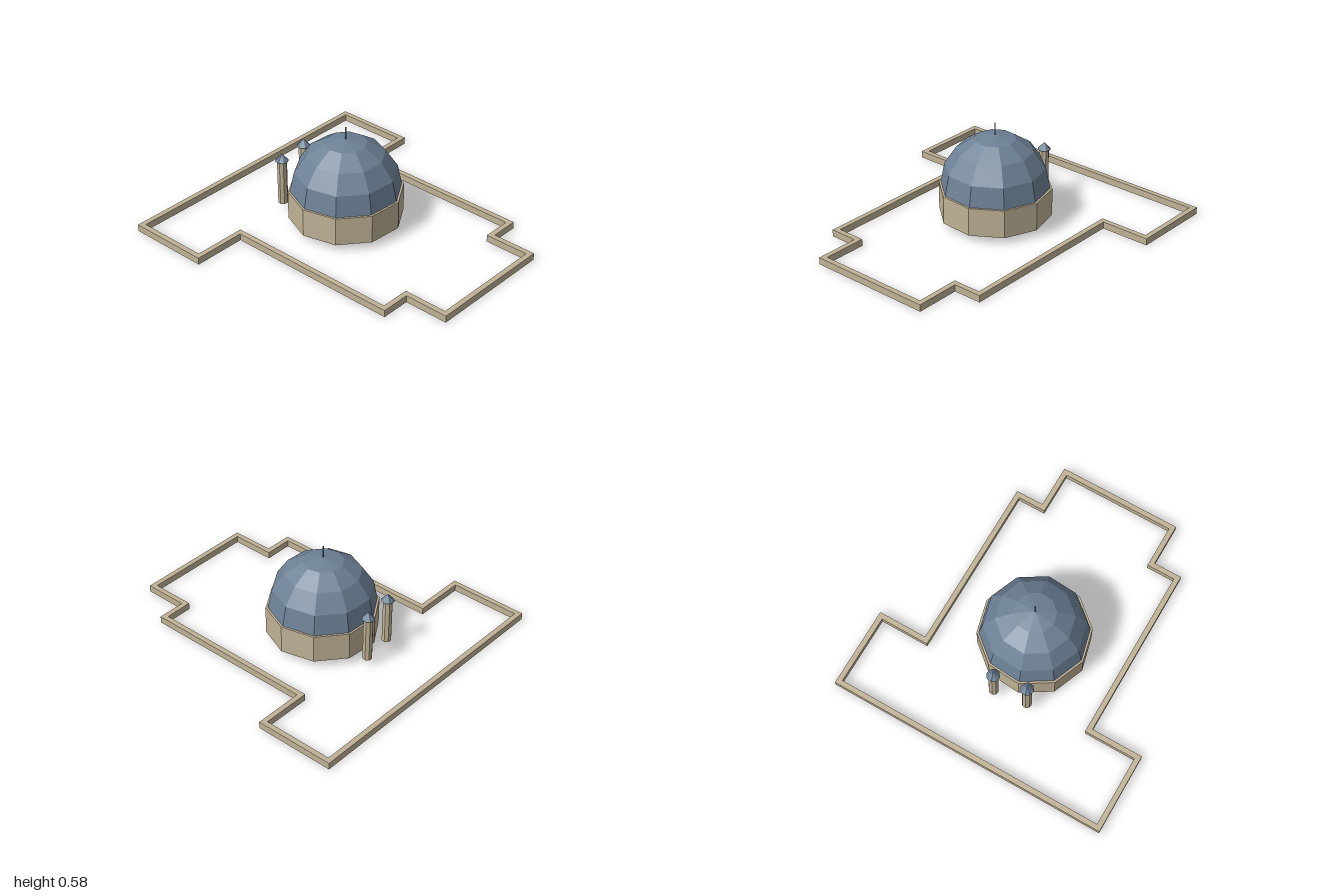
import * as THREE from 'three';

export function createModel() {
  const model = new THREE.Group();
  const sandstone = new THREE.MeshStandardMaterial({ color: 0xc0b296, flatShading: true });
  sandstone.name = 'sandstone';
  const slate = new THREE.MeshStandardMaterial({ color: 0x6d8196, flatShading: true });
  slate.name = 'slate blue';

  const add = (name, geometry, material, x = 0, y = 0, z = 0, parent = model) => {
    const mesh = new THREE.Mesh(geometry, material);
    mesh.name = name;
    mesh.position.set(x, y, z);
    parent.add(mesh);
    return mesh;
  };

  // Perimeter wall: right-angled outline, offset inwards for its thickness
  const wallHeight = 0.04, wallThickness = 0.03;
  const outer = [
    [-0.79, -0.696], [-0.316, -0.696], [-0.316, -0.404], [0.708, -0.404],
    [0.708, -0.238], [0.967, -0.238], [0.967, 0.492], [0.71, 0.492],
    [0.71, 0.66], [-0.315, 0.66], [-0.315, 0.965], [-0.79, 0.965],
  ].map(([u, v]) => new THREE.Vector2(u, v));
  const inwardNormal = (a, b) => {
    const d = b.clone().sub(a).normalize();
    return new THREE.Vector2(-d.y, d.x);
  };
  const inner = outer.map((p, i) => {
    const before = outer[(i + outer.length - 1) % outer.length];
    const after = outer[(i + 1) % outer.length];
    return p.clone()
      .addScaledVector(inwardNormal(before, p), wallThickness)
      .addScaledVector(inwardNormal(p, after), wallThickness);
  });
  const outline = new THREE.Shape(outer);
  outline.holes.push(new THREE.Path(inner));
  const wall = new THREE.ExtrudeGeometry(outline, { depth: wallHeight, bevelEnabled: false });
  wall.rotateX(Math.PI / 2).translate(0, wallHeight, 0).rotateY(THREE.MathUtils.degToRad(-14));
  add('perimeterWall', wall, sandstone);

  // Ten-sided hall with its dome and spire, standing at wall-top level
  const hall = new THREE.Group();
  hall.name = 'domedHall';
  hall.position.set(-0.06, wallHeight, 0.12);
  model.add(hall);
  const drum = new THREE.CylinderGeometry(0.317, 0.317, 0.165, 10).rotateY(Math.PI / 10);
  add('drum', drum, sandstone, 0, 0.0825, 0, hall);
  const dome = new THREE.SphereGeometry(0.305, 10, 4, 0, Math.PI * 2, 0, Math.PI / 2);
  add('dome', dome, slate, 0, 0.165, 0, hall);
  add('spire', new THREE.CylinderGeometry(0.004, 0.004, 0.07, 6), slate, 0, 0.505, 0, hall);

  // Two slim towers with pointed roofs
  for (const [x, z] of [[-0.4, -0.015], [-0.423, 0.18]]) {
    const tower = new THREE.Group();
    tower.name = 'tower';
    tower.position.set(x, wallHeight, z);
    model.add(tower);
    add('towerShaft', new THREE.CylinderGeometry(0.028, 0.028, 0.265, 8), sandstone, 0, 0.1325, 0, tower);
    add('towerRoof', new THREE.ConeGeometry(0.038, 0.042, 8), slate, 0, 0.286, 0, tower);
  }
  return model;
}
